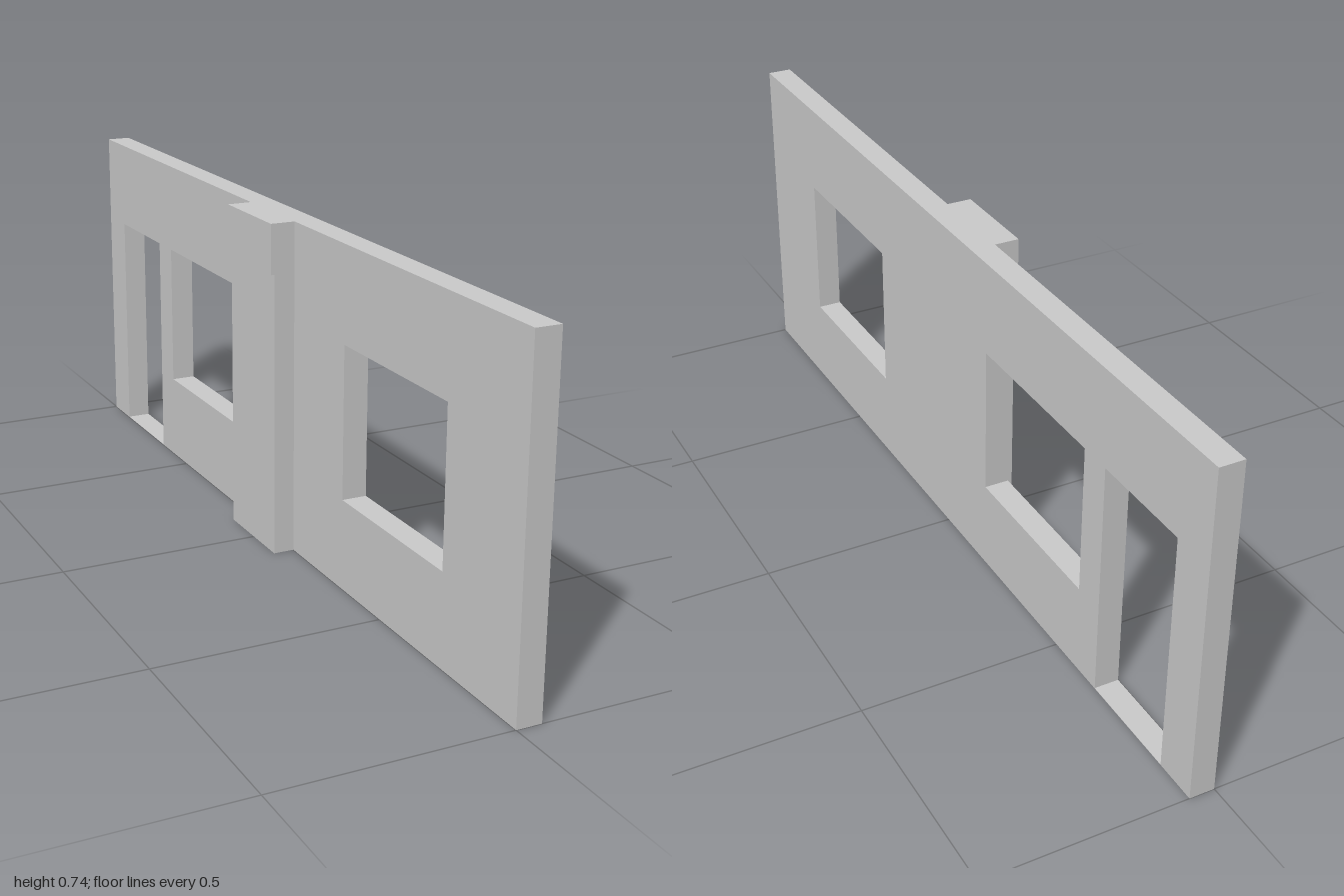
import * as THREE from 'three';

const HEIGHT = 0.743;
const THICK = 0.055;

// Rectangle outline drawn on the wall plane, given as z and y ranges
function rect(PathType, z0, z1, y0, y1) {
  const path = new PathType();
  path.moveTo(-z1, y0);
  path.lineTo(-z0, y0);
  path.lineTo(-z0, y1);
  path.lineTo(-z1, y1);
  path.closePath();
  return path;
}

export function createModel() {
  const group = new THREE.Group();
  const material = new THREE.MeshStandardMaterial({ color: 0xcccccc, flatShading: true });

  const add = (name, geometry) => {
    const mesh = new THREE.Mesh(geometry, material);
    mesh.name = name;
    group.add(mesh);
  };

  // Wall panel with two windows and a doorway that keeps a thin threshold
  const panel = rect(THREE.Shape, -1, 1, 0, HEIGHT);
  panel.holes.push(
    rect(THREE.Path, 0.334, 0.735, 0.2, 0.535),
    rect(THREE.Path, -0.58, -0.179, 0.2, 0.535),
    rect(THREE.Path, -0.9, -0.655, 0.001, 0.535)
  );
  const wall = new THREE.ExtrudeGeometry(panel, { depth: THICK, bevelEnabled: false });
  wall.rotateY(Math.PI / 2);
  add('wall', wall);

  // Pillar on the inner face, its head stepping out slightly; outline in x and y
  const profile = new THREE.Shape([
    [0, 0], [0, HEIGHT], [-0.055, HEIGHT], [-0.055, 0.633], [-0.047, 0.633], [-0.047, 0]
  ].map(([x, y]) => new THREE.Vector2(x, y)));
  const pillar = new THREE.ExtrudeGeometry(profile, { depth: 0.217, bevelEnabled: false });
  pillar.translate(0, 0, -0.111);
  add('pillar', pillar);

  return group;
}
